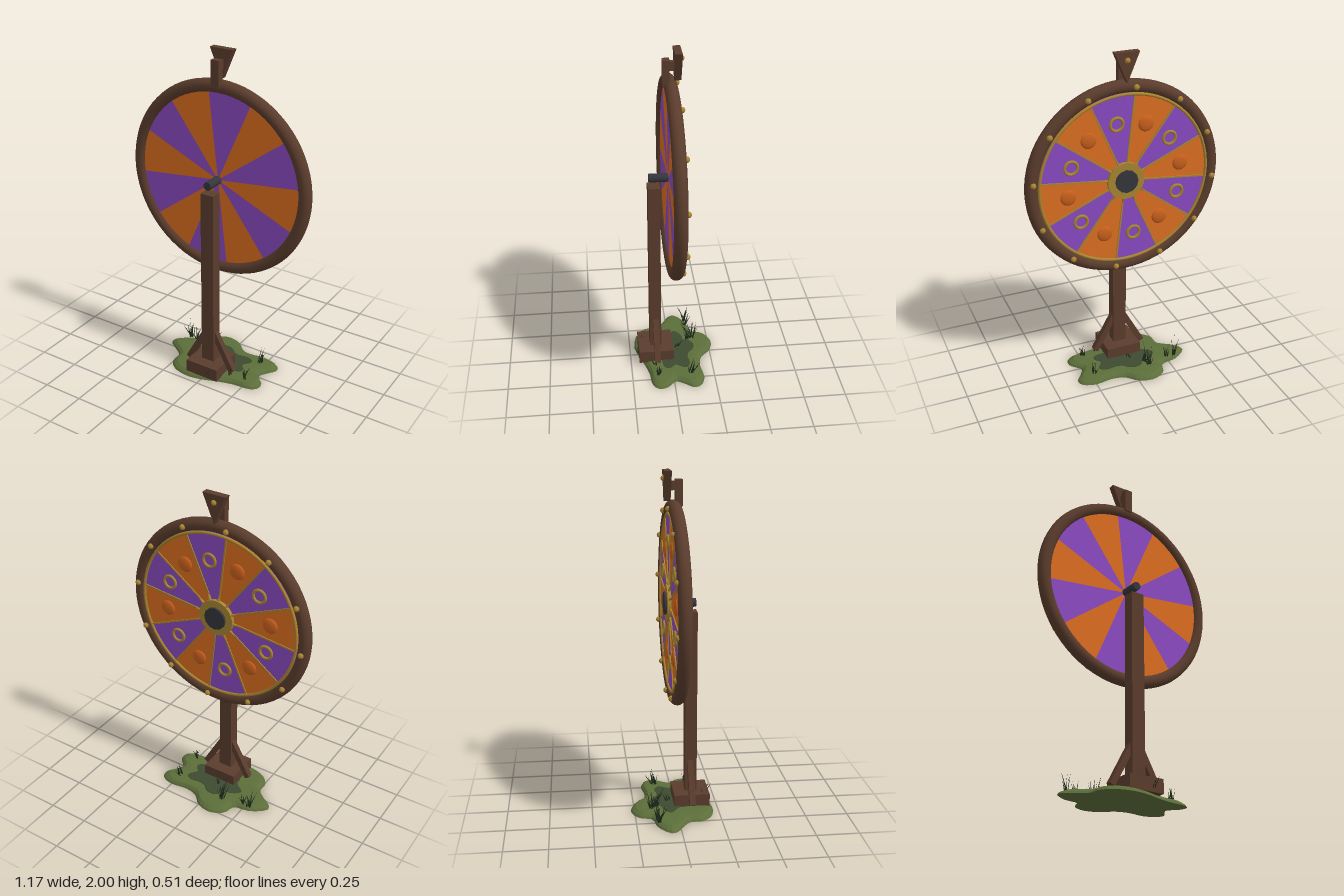
import * as THREE from 'three';

const mat = (color, extra = {}) => new THREE.MeshStandardMaterial({ color, ...extra });
const WOOD = mat(0x5a3c2c), GOLD = mat(0xa88432), DARK = mat(0x34363b), ORANGE = mat(0xdc6e20);
const PURPLE = mat(0x8a4ac2), BUTTON = mat(0xc9601c), MOSS = mat(0x5c6e3a), SOIL = mat(0x3d4a30);
const GRASS = mat(0x1f2c1c, { side: THREE.DoubleSide });

function add(parent, name, geo, material, x = 0, y = 0, z = 0) {
  const mesh = new THREE.Mesh(geo, material);
  mesh.name = name;
  mesh.position.set(x, y, z);
  parent.add(mesh);
  return mesh;
}
// Cylinder lying along z
const disc = (r, depth, sides = 32) => new THREE.CylinderGeometry(r, r, depth, sides).rotateX(Math.PI / 2);

function makeWheel() {
  const wheel = new THREE.Group();
  wheel.name = 'wheel';
  wheel.position.set(0, 1.25, -0.006);
  add(wheel, 'rim', new THREE.TorusGeometry(0.547, 0.038, 16, 72), WOOD);
  add(wheel, 'innerTrim', new THREE.TorusGeometry(0.507, 0.009, 8, 72), GOLD, 0, 0, -0.026);

  const step = Math.PI / 6, first = THREE.MathUtils.degToRad(66.5);
  for (let i = 0; i < 12; i++) {
    const a = first + i * step, mid = a + step / 2;
    // Coloured wedge
    const wedge = new THREE.CylinderGeometry(0.515, 0.515, 0.04, 8, 1, false, a + Math.PI / 2, step);
    add(wheel, 'wedge', wedge.rotateX(Math.PI / 2), i % 2 ? ORANGE : PURPLE, 0, 0, -0.004);
    // Divider and rim stud on each boundary
    const c = Math.cos(a), s = Math.sin(a);
    add(wheel, 'divider', new THREE.BoxGeometry(0.41, 0.009, 0.008), GOLD, 0.3 * c, 0.3 * s, -0.026).rotation.z = a;
    add(wheel, 'rimStud', new THREE.SphereGeometry(0.017, 12, 8), GOLD, 0.547 * c, 0.547 * s, -0.038);
    // Small spike beside the hub
    add(wheel, 'hubSpike', new THREE.ConeGeometry(0.01, 0.045, 6), GOLD, 0.125 * c, 0.125 * s, -0.032).rotation.z = a - Math.PI / 2;
    // Ornament in the middle of the wedge
    const x = 0.345 * Math.cos(mid), y = 0.345 * Math.sin(mid);
    if (i % 2) {
      add(wheel, 'button', new THREE.SphereGeometry(0.047, 20, 12), BUTTON, x, y, -0.024).scale.z = 0.3;
    } else {
      add(wheel, 'ornamentRing', new THREE.TorusGeometry(0.038, 0.009, 8, 24), GOLD, x, y, -0.027);
    }
  }

  add(wheel, 'hubPlate', disc(0.11, 0.03), GOLD, 0, 0, -0.03);
  add(wheel, 'hubCap', disc(0.068, 0.03, 12), DARK, 0, 0, -0.043);
  add(wheel, 'axle', disc(0.025, 0.155, 16), DARK, 0, 0, 0.05);
  return wheel;
}

function makeStand() {
  const stand = new THREE.Group();
  stand.name = 'stand';
  add(stand, 'post', new THREE.BoxGeometry(0.083, 1.17, 0.07), WOOD, 0, 0.615, 0.093);
  add(stand, 'baseBlock', new THREE.BoxGeometry(0.216, 0.08, 0.212), WOOD, 0, 0.06, 0.093);
  for (const side of [-1, 1]) {
    const brace = add(stand, 'brace', new THREE.BoxGeometry(0.036, 0.28, 0.035), WOOD, side * 0.087, 0.175, 0.09);
    brace.rotation.z = side * 0.5;
  }
  return stand;
}

function makePointer() {
  const pointer = new THREE.Group();
  pointer.name = 'pointer';
  add(pointer, 'pointerBar', new THREE.BoxGeometry(0.05, 0.15, 0.04), WOOD, 0, 1.875, 0.021);
  const shape = new THREE.Shape([[0, 1.83], [0.072, 2], [-0.072, 2]].map(p => new THREE.Vector2(...p)));
  const geo = new THREE.ExtrudeGeometry(shape, { depth: 0.04, bevelEnabled: false });
  add(pointer, 'pointerArrow', geo, WOOD, 0, 0, -0.064);
  add(pointer, 'pointerLink', new THREE.BoxGeometry(0.03, 0.05, 0.03), WOOD, 0, 1.915, -0.01);
  add(pointer, 'pointerStud', new THREE.SphereGeometry(0.016, 12, 8), GOLD, 0, 1.955, -0.064);
  return pointer;
}

// Solid stacked from scaled copies of a smooth outline, closed top and bottom
function moundGeometry(curve, layers, cx, cz, n = 72) {
  const pos = [], index = [];
  const pts = curve.getPoints(n).slice(0, n);
  for (const [scale, y] of layers) {
    for (const p of pts) pos.push(cx + (p.x - cx) * scale, y, cz + (p.z - cz) * scale);
  }
  // Outline runs clockwise as seen from above
  for (let l = 0; l < layers.length - 1; l++) {
    for (let i = 0; i < n; i++) {
      const a = l * n + i, b = l * n + (i + 1) % n;
      index.push(a, a + n, b, b, a + n, b + n);
    }
  }
  const top = (layers.length - 1) * n, centre = pos.length / 3;
  pos.push(cx, layers.at(-1)[1], cz, cx, layers[0][1], cz);
  for (let i = 0; i < n; i++) {
    const j = (i + 1) % n;
    index.push(top + i, centre, top + j, i, j, centre + 1);
  }
  const geo = new THREE.BufferGeometry();
  geo.setAttribute('position', new THREE.Float32BufferAttribute(pos, 3));
  geo.setIndex(index);
  const flat = geo.toNonIndexed();
  flat.computeVertexNormals();
  return flat;
}

function makeGround() {
  const ground = new THREE.Group();
  ground.name = 'ground';
  const outline = [
    [-0.385, -0.06], [-0.3, -0.13], [-0.2, -0.155], [-0.175, -0.225], [-0.095, -0.27], [0, -0.25],
    [0.065, -0.19], [0.145, -0.172], [0.255, -0.186], [0.33, -0.158], [0.345, -0.115], [0.308, -0.06],
    [0.283, -0.01], [0.335, 0.05], [0.338, 0.1], [0.3, 0.132], [0.19, 0.145], [0.085, 0.175],
    [0, 0.205], [-0.09, 0.22], [-0.2, 0.195], [-0.255, 0.135], [-0.26, 0.065], [-0.31, 0.02], [-0.375, -0.025],
  ];
  const curve = new THREE.CatmullRomCurve3(outline.map(([x, z]) => new THREE.Vector3(x, 0, z)), true);
  add(ground, 'mossMound', moundGeometry(curve, [[1, 0], [0.97, 0.012], [0.89, 0.026], [0.76, 0.03]], 0, -0.01), MOSS);
  add(ground, 'darkPatch', moundGeometry(curve, [[0.52, 0.026], [0.5, 0.033]], 0.03, -0.03), SOIL);

  // Grass tufts: x, z, height, blade count
  let seed = 7;
  const rand = () => (seed = (seed * 16807) % 2147483647) / 2147483647;
  const tufts = [
    [-0.29, -0.125, 0.14, 8], [-0.24, -0.12, 0.09, 6], [-0.11, -0.15, 0.15, 12], [-0.09, -0.12, 0.1, 6],
    [0.235, -0.105, 0.12, 8], [0.24, 0.085, 0.09, 8], [0.15, 0.1, 0.08, 5],
    [-0.05, 0.17, 0.1, 8], [0.04, 0.18, 0.1, 8], [-0.02, -0.04, 0.07, 5],
  ];
  for (const [x, z, height, count] of tufts) {
    const tuft = new THREE.Group();
    tuft.name = 'grassTuft';
    tuft.position.set(x, 0.026, z);
    for (let i = 0; i < count; i++) {
      const h = height * (0.55 + 0.45 * rand());
      const blade = new THREE.ConeGeometry(0.006, h, 3).translate(0, h / 2, 0).scale(1, 1, 0.4);
      const b = add(tuft, 'grassBlade', blade, GRASS, (rand() - 0.5) * 0.025, 0, (rand() - 0.5) * 0.025);
      b.rotation.set((rand() - 0.5) * 0.8, rand() * 6, (rand() - 0.5) * 0.8);
    }
    ground.add(tuft);
  }
  return ground;
}

export function createModel() {
  const model = new THREE.Group();
  model.name = 'prizeWheel';
  model.add(makeWheel(), makeStand(), makePointer(), makeGround());
  return model;
}
